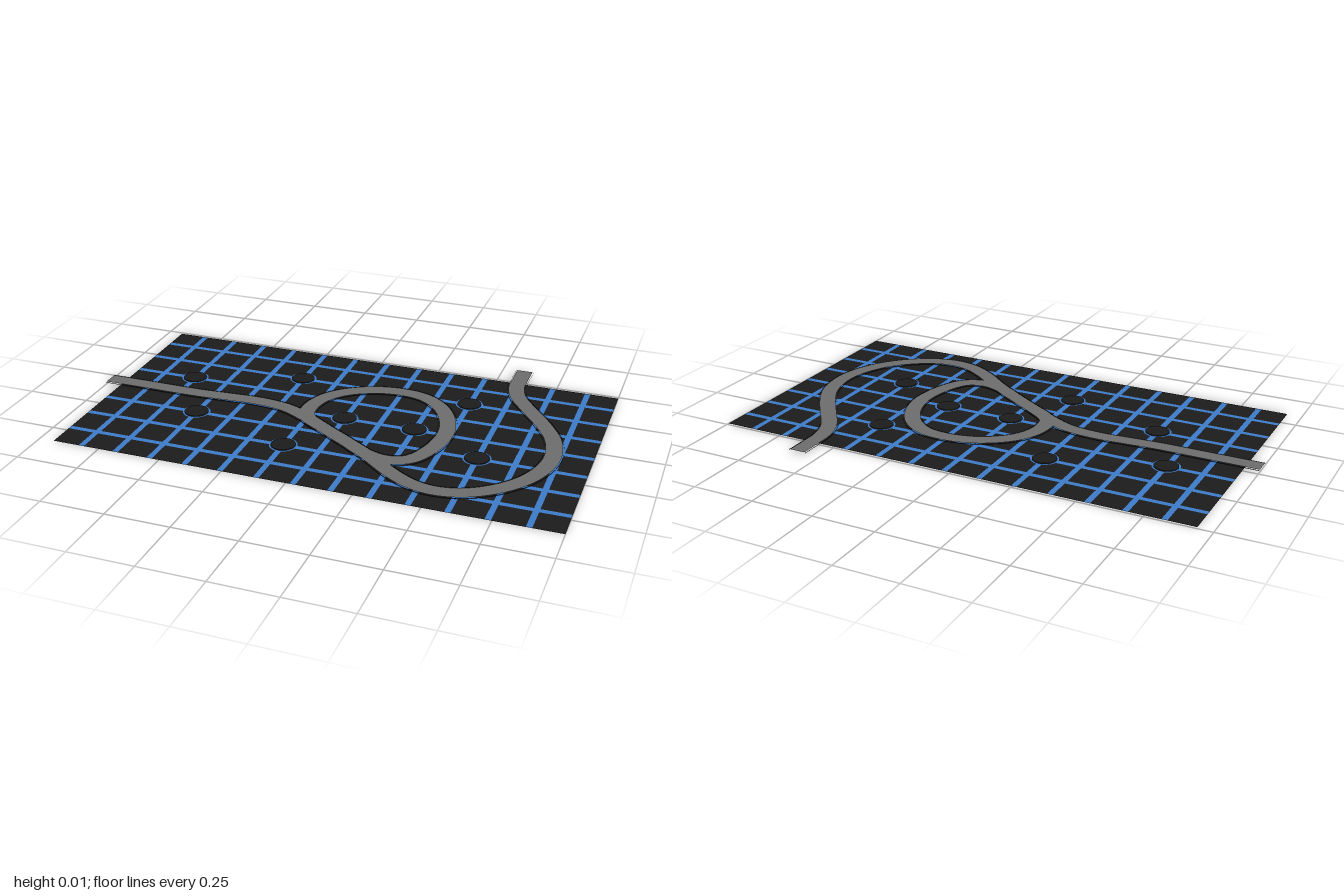
import * as THREE from 'three';

const paint = (color) => new THREE.MeshStandardMaterial({ color, side: THREE.DoubleSide });
const BLACK = paint(0x1c1c1c);
const BLUE = paint(0x3d7cc9);
const GREY = paint(0x6e6e6e);
const BLUE_TOP = new THREE.MeshStandardMaterial({ color: 0x3d7cc9 });

// Flat band swept along a curve lying in the xz plane: offsets a and b run sideways, heights ya and yb
function band(curve, a, b, ya, yb, steps) {
  const pos = [], index = [];
  for (let i = 0; i <= steps; i++) {
    const p = curve.getPointAt(i / steps);
    const t = curve.getTangentAt(i / steps);
    const n = new THREE.Vector3(-t.z, 0, t.x).normalize();
    pos.push(p.x + n.x * a, ya, p.z + n.z * a, p.x + n.x * b, yb, p.z + n.z * b);
    if (i < steps) {
      const k = 2 * i;
      index.push(k, k + 1, k + 2, k + 1, k + 3, k + 2);
    }
  }
  const g = new THREE.BufferGeometry();
  g.setAttribute('position', new THREE.Float32BufferAttribute(pos, 3));
  g.setIndex(index);
  g.computeVertexNormals();
  return g;
}

export function createModel() {
  const model = new THREE.Group();
  const add = (parent, name, geometry, material, x = 0, y = 0, z = 0) => {
    const mesh = new THREE.Mesh(geometry, material);
    mesh.name = name;
    mesh.position.set(x, y, z);
    parent.add(mesh);
    return mesh;
  };

  // Ground: black tiles and blue grid lines side by side in one plane
  const ground = new THREE.Group();
  ground.name = 'ground';
  model.add(ground);
  const pitch = 0.1417, half = 0.011;
  const cuts = (min, first, count, max) => {
    const out = [min];
    for (let i = 0; i < count; i++) out.push(first + i * pitch - half, first + i * pitch + half);
    return [...out, max];
  };
  const xs = cuts(-0.94, -0.823, 13, 1);
  const zs = cuts(-0.49, -0.375, 7, 0.595);
  const patch = (name, x0, x1, z0, z1, material) =>
    add(ground, name, new THREE.PlaneGeometry(x1 - x0, z1 - z0).rotateX(-Math.PI / 2),
      material, (x0 + x1) / 2, 0.0005, (z0 + z1) / 2);
  for (let j = 0; j < zs.length - 1; j++) {
    if (j % 2) {
      patch('crossLine', xs[0], xs[xs.length - 1], zs[j], zs[j + 1], BLUE);
      continue;
    }
    for (let i = 0; i < xs.length - 1; i++) {
      patch(i % 2 ? 'lineSegment' : 'tile', xs[i], xs[i + 1], zs[j], zs[j + 1], i % 2 ? BLUE : BLACK);
    }
  }

  // Round pads on grid crossings, given as column and row
  const pads = [[4, 1], [9, 1], [1, 2], [6, 3], [8, 3], [2, 4], [10, 4], [5, 5]];
  for (const [col, row] of pads) {
    const pad = new THREE.Group();
    pad.name = 'pad';
    pad.position.set(-0.823 + col * pitch, 0, -0.375 + row * pitch);
    model.add(pad);
    add(pad, 'padDisc', new THREE.CylinderGeometry(0.047, 0.047, 0.006, 32), BLACK, 0, 0.003, 0);
    add(pad, 'padRim', new THREE.RingGeometry(0.046, 0.054, 32).rotateX(-Math.PI / 2), BLUE_TOP, 0, 0.0025, 0);
  }

  // Road centre lines
  const line = (points, closed) => {
    const c = new THREE.CatmullRomCurve3(points.map(([x, z]) => new THREE.Vector3(x, 0, z)), closed);
    c.arcLengthDivisions = 600;
    return c;
  };
  const mainRoad = line([
    [-1, 0.05], [-0.8, 0.05], [-0.6, 0.05], [-0.47, 0.042], [-0.35, 0.036], [-0.22, 0.053],
    [-0.12, 0.1], [0, 0.177], [0.11, 0.247], [0.22, 0.322], [0.34, 0.417], [0.43, 0.466],
    [0.52, 0.482], [0.62, 0.46], [0.72, 0.395], [0.8, 0.3], [0.845, 0.19], [0.855, 0.09],
    [0.83, -0.03], [0.77, -0.14], [0.69, -0.25], [0.625, -0.345], [0.597, -0.43], [0.594, -0.51], [0.594, -0.6],
  ], false);
  const loopRoad = line([
    [-0.12, 0.08], [-0.128, 0], [-0.105, -0.08], [-0.05, -0.15], [0.05, -0.212], [0.17, -0.235],
    [0.27, -0.218], [0.35, -0.16], [0.41, -0.06], [0.436, 0.06], [0.415, 0.2], [0.365, 0.295],
    [0.29, 0.325], [0.2, 0.305], [0.11, 0.247], [0, 0.177], [-0.085, 0.122],
  ], true);

  // Each road: grey surface, blue border showing at the sides, thin dark edges
  const w = 0.032, border = 0.0365;
  [[mainRoad, 'mainRoad', 160], [loopRoad, 'loopRoad', 110]].forEach(([curve, name, steps], i) => {
    const road = new THREE.Group();
    road.name = name;
    model.add(road);
    const top = 0.0099 - i * 0.0002;
    add(road, 'roadSurface', band(curve, w, -w, top, top, steps), GREY);
    add(road, 'roadBorder', band(curve, border, -border, 0.0087, 0.0087, steps), BLUE_TOP);
    for (const s of [-1, 1]) {
      add(road, 'roadEdge', band(curve, s * border, s * border, 0.0087, 0.0065, steps), BLACK);
    }
  });
  return model;
}
